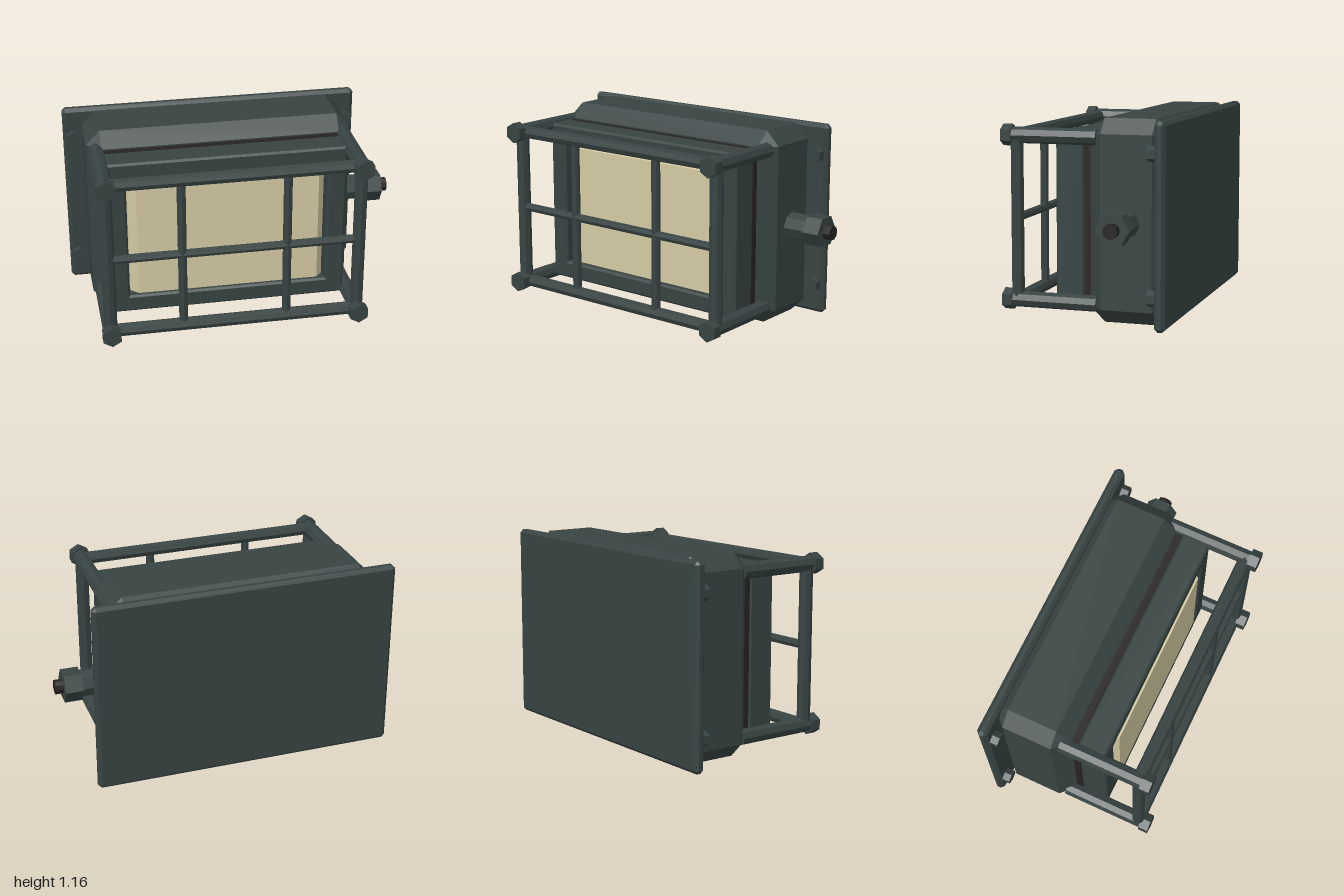
import * as THREE from 'three';
import { ConvexGeometry } from 'three/addons/geometries/ConvexGeometry.js';

const CX = -0.09, CY = 0.583; // centre of the lamp's face

export function createModel() {
  const root = new THREE.Group();
  root.name = 'bulkheadLamp';

  const paint = new THREE.MeshStandardMaterial({ color: 0x374342 });
  paint.name = 'dark green grey paint';
  const rubber = new THREE.MeshStandardMaterial({ color: 0x262222 });
  rubber.name = 'black rubber';
  const lens = new THREE.MeshStandardMaterial({ color: 0xd3caa2 });
  lens.name = 'cream glass';

  function add(name, geometry, material, x = 0, y = 0, z = 0, parent = root) {
    const mesh = new THREE.Mesh(geometry, material);
    mesh.name = name;
    mesh.position.set(x, y, z);
    parent.add(mesh);
    return mesh;
  }

  function addGroup(name) {
    const group = new THREE.Group();
    group.name = name;
    root.add(group);
    return group;
  }

  // Box with every edge cut at 45 degrees
  function chamferedBox(w, h, d, c) {
    const points = [];
    for (const sx of [-1, 1]) for (const sy of [-1, 1]) for (const sz of [-1, 1]) {
      const x = w / 2, y = h / 2, z = d / 2;
      points.push(
        new THREE.Vector3(sx * x, sy * (y - c), sz * (z - c)),
        new THREE.Vector3(sx * (x - c), sy * y, sz * (z - c)),
        new THREE.Vector3(sx * (x - c), sy * (y - c), sz * z));
    }
    return new ConvexGeometry(points);
  }

  // Faceted rod along the given axis
  function rod(radius, length, sides, axis) {
    const g = new THREE.CylinderGeometry(radius, radius, length, sides);
    if (axis === 'x') g.rotateZ(-Math.PI / 2);
    if (axis === 'z') g.rotateX(Math.PI / 2);
    const flat = g.toNonIndexed();
    flat.computeVertexNormals();
    return flat;
  }

  // Wall plate and housing
  add('wallPlate', chamferedBox(1.82, 1.165, 0.064, 0.02), paint, CX, CY, -0.468);
  add('housing', chamferedBox(1.6, 1.165, 0.47, 0.085), paint, CX, CY, -0.245);

  // Bolts holding the plate
  const bolts = addGroup('plateBolts');
  for (const sx of [-1, 1]) for (const sy of [-1, 1]) {
    add('plateBolt', rod(0.045, 0.06, 6, 'z'), paint, CX + sx * 0.852, CY + sy * 0.402, -0.419, bolts);
  }

  // Gasket between housing and lens frame
  add('gasket', new THREE.BoxGeometry(1.42, 0.98, 0.05), rubber, CX, CY, 0.005);

  // Lens frame with its window opening
  const rectangle = (Type, hx, hy) => new Type([
    new THREE.Vector2(-hx, -hy), new THREE.Vector2(hx, -hy),
    new THREE.Vector2(hx, hy), new THREE.Vector2(-hx, hy)]);
  const bevel = 0.012;
  const outline = rectangle(THREE.Shape, 0.715 - bevel, 0.493 - bevel);
  outline.holes.push(rectangle(THREE.Path, 0.6 + bevel, 0.387 + bevel));
  const frame = new THREE.ExtrudeGeometry(outline, {
    depth: 0.17 - 2 * bevel, bevelEnabled: true, bevelSize: bevel,
    bevelThickness: bevel, bevelSegments: 1,
  });
  add('lensFrame', frame, paint, CX, CY, 0.03 + bevel);

  // Glass pane with sloping sides
  const pane = [];
  for (const sx of [-1, 1]) for (const sy of [-1, 1]) {
    pane.push(
      new THREE.Vector3(sx * 0.6, sy * 0.387, 0.03),
      new THREE.Vector3(sx * 0.59, sy * 0.38, 0.14),
      new THREE.Vector3(sx * 0.545, sy * 0.365, 0.208));
  }
  add('glassLens', new ConvexGeometry(pane), lens, CX, CY, 0);

  // Guard cage: legs with end nuts, outer bars, then the thinner grille
  const cage = addGroup('guardCage');
  const gx = 0.743, gy = 0.475, gz = 0.423;
  for (const sx of [-1, 1]) {
    for (const sy of [-1, 1]) {
      add('cageLeg', rod(0.047, 0.51, 8, 'z'), paint, CX + sx * gx, CY + sy * gy, 0.195, cage);
      add('cageNut', rod(0.062, 0.06, 6, 'z'), paint, CX + sx * gx, CY + sy * gy, 0.475, cage);
    }
    add('cageSideBar', rod(0.039, 2 * gy, 8, 'y'), paint, CX + sx * gx, CY, gz, cage);
    add('cageCrossBar', rod(0.039, 2 * gx, 8, 'x'), paint, CX, CY + sx * gy, gz, cage);
    add('grilleUpright', rod(0.026, 2 * gy, 8, 'y'), paint, CX + sx * 0.31, CY, gz, cage);
  }
  add('grilleRail', rod(0.026, 2 * gx, 8, 'x'), paint, CX, CY, gz, cage);

  // Cable gland on the side
  const gland = addGroup('cableGland');
  add('glandBody', rod(0.08, 0.17, 8, 'x'), paint, 0.775, CY, -0.245, gland);
  add('glandNut', rod(0.097, 0.104, 6, 'x'), paint, 0.902, CY, -0.245, gland);
  add('cable', rod(0.043, 0.1, 10, 'x'), rubber, 0.95, CY, -0.245, gland);

  return root;
}
